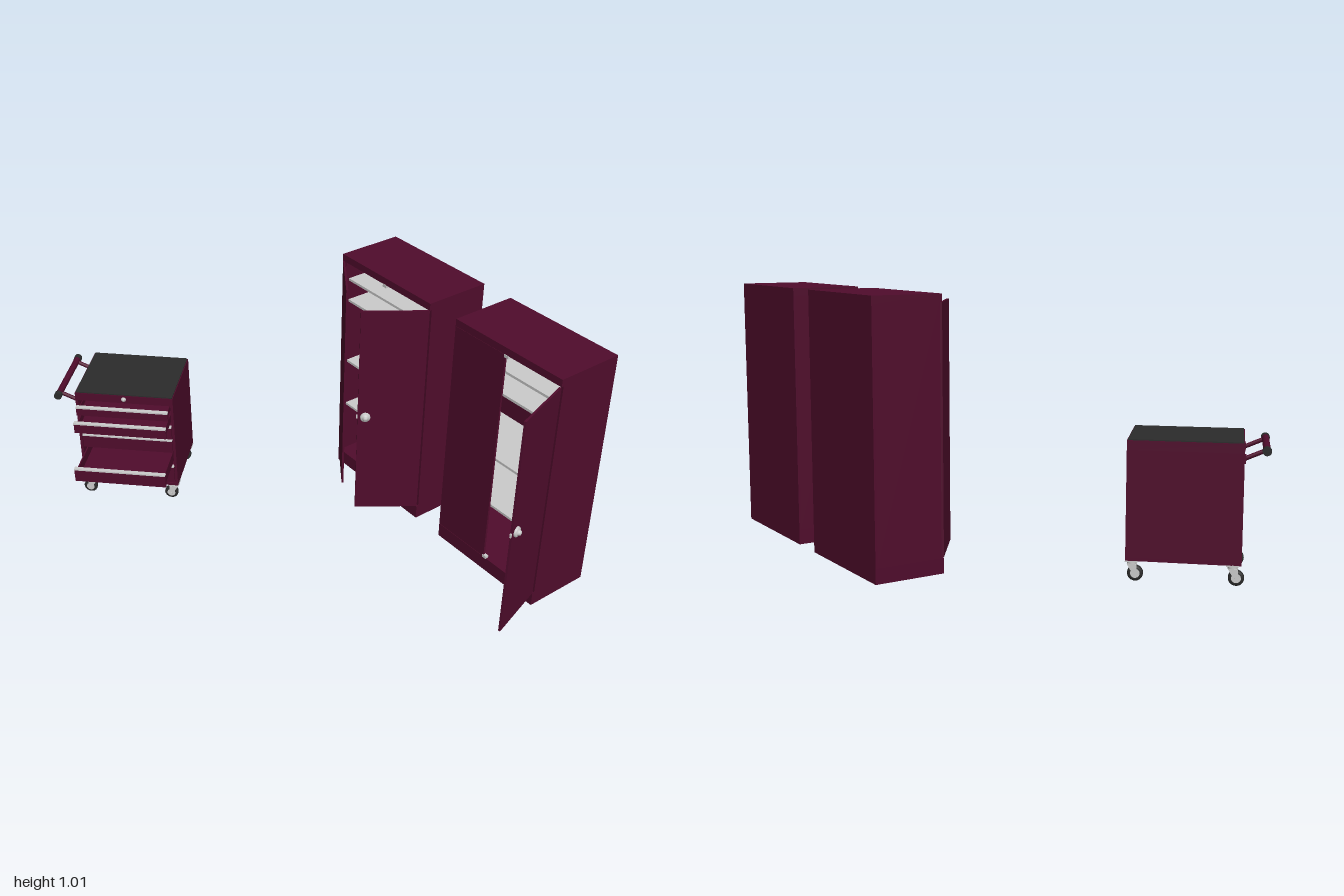
import * as THREE from 'three';

const paint = new THREE.MeshStandardMaterial({ color: 0x500c2c });
const grey = new THREE.MeshStandardMaterial({ color: 0xcccccc });
const rubber = new THREE.MeshStandardMaterial({ color: 0x2b2b2b });

function add(parent, name, geometry, material, x = 0, y = 0, z = 0) {
  const mesh = new THREE.Mesh(geometry, material);
  mesh.name = name;
  mesh.position.set(x, y, z);
  parent.add(mesh);
  return mesh;
}

// Box given by its min and max on each axis
function box(parent, name, [x0, x1], [y0, y1], [z0, z1], material = paint) {
  const g = new THREE.BoxGeometry(x1 - x0, y1 - y0, z1 - z0);
  return add(parent, name, g, material, (x0 + x1) / 2, (y0 + y1) / 2, (z0 + z1) / 2);
}

// Round bar between two points
function rod(parent, name, a, b, radius, material = paint) {
  const path = new THREE.LineCurve3(new THREE.Vector3(...a), new THREE.Vector3(...b));
  return add(parent, name, new THREE.TubeGeometry(path, 1, radius, 12), material);
}

// Turned lock or knob facing +z
function lock(parent, name, radius, x, y, z) {
  const profile = [[0, 1], [0.35, 0.95], [0.5, 0.75], [0.5, 0.5], [0.85, 0.45], [1, 0.3], [1, 0]]
    .map(([r, h]) => new THREE.Vector2(r * radius, h * radius)).reverse();
  const knob = add(parent, name, new THREE.LatheGeometry(profile, 20), grey, x, y, z);
  knob.rotation.x = Math.PI / 2;
  return knob;
}

// Door hinged at its local origin; dir is +1 or -1 along x
function door(parent, name, dir, hingeX, angle, hasHandle) {
  const hinge = new THREE.Group();
  hinge.name = name;
  hinge.position.set(hingeX, 0, 0);
  hinge.rotation.y = -dir * angle;
  const len = 0.255;
  box(hinge, 'doorPanel', dir > 0 ? [0, len] : [-len, 0], [0.068, 0.976], [-0.008, 0]);
  if (hasHandle) {
    lock(hinge, 'doorKnob', 0.02, dir * 0.225, 0.51, 0);
    box(hinge, 'doorLatch', dir > 0 ? [len - 0.01, len + 0.006] : [-len - 0.006, -len + 0.01],
      [0.502, 0.518], [-0.007, -0.001], grey);
  }
  parent.add(hinge);
}

// Tall cabinet; local z = 0 is the front face
function cabinet(name, x, leftAngle, rightAngle) {
  const g = new THREE.Group();
  g.name = name;
  g.position.set(x, 0, -0.423);
  const w = 0.26, back = -0.272, lip = -0.009;
  box(g, 'cabinetTop', [-w, w], [0.977, 1.006], [back, 0]);
  box(g, 'cabinetBase', [-w, w], [0.008, 0.066], [back, 0]);
  box(g, 'cabinetBack', [-w, w], [0.066, 0.977], [back, back + 0.008]);
  for (const s of [-1, 1]) {
    const side = [s * w, s * (w - 0.01)].sort((a, b) => a - b);
    box(g, 'cabinetSide', side, [0.066, 0.977], [back + 0.008, lip]);
  }
  for (const y of [0.297, 0.51, 0.795, 0.89])
    box(g, 'shelf', [-w + 0.01, w - 0.01], [y - 0.005, y + 0.005], [back + 0.008, -0.025], grey);
  for (const y of [0.07, 0.972])
    box(g, 'doorCatch', [-0.01, 0.01], [y - 0.006, y + 0.006], [-0.012, 0.002], grey);
  door(g, 'leftHandDoor', 1, -w, leftAngle, false);
  door(g, 'rightHandDoor', -1, w, rightAngle, true);
  return g;
}

// Open-topped drawer pulled out by a given distance
function drawer(parent, y0, y1, pull) {
  const g = new THREE.Group();
  g.name = 'drawer';
  g.position.z = pull;
  const w = 0.188, front = 0.16, back = -0.14, wall = y1 - 0.012;
  box(g, 'drawerFront', [-w, w], [y0, y1 - 0.005], [front - 0.012, front]);
  box(g, 'drawerPull', [-w, w], [y1 - 0.006, y1], [front - 0.014, front + 0.004], grey);
  box(g, 'drawerFloor', [-w + 0.006, w - 0.006], [y0 + 0.003, y0 + 0.008], [back, front - 0.012]);
  box(g, 'drawerBack', [-w + 0.006, w - 0.006], [y0 + 0.008, wall], [back, back + 0.005]);
  for (const x of [-w + 0.006, w - 0.011])
    box(g, 'drawerSide', [x, x + 0.005], [y0 + 0.008, wall], [back + 0.005, front - 0.012]);
  parent.add(g);
}

// Swivel caster, wheel trailing towards -x
function caster(parent, x, z) {
  const g = new THREE.Group();
  g.name = 'caster';
  g.position.set(x, 0, z);
  box(g, 'casterPlate', [-0.022, 0.022], [0.07, 0.076], [-0.022, 0.022], grey);
  add(g, 'casterSwivel', new THREE.CylinderGeometry(0.016, 0.016, 0.012, 16), grey, 0, 0.064, 0);
  const fork = new THREE.Shape([[-0.018, 0.062], [-0.022, 0.024], [-0.008, 0.022], [0.016, 0.062]]
    .map(p => new THREE.Vector2(...p)));
  const plate = new THREE.ExtrudeGeometry(fork, { depth: 0.003, bevelEnabled: false });
  for (const fz of [-0.016, 0.013]) add(g, 'casterFork', plate, grey, 0, 0, fz);
  const tyre = [[0.017, -0.011], [0.024, -0.011], [0.028, -0.006], [0.028, 0.006], [0.024, 0.011], [0.017, 0.011]]
    .map(p => new THREE.Vector2(...p));
  add(g, 'casterTyre', new THREE.LatheGeometry(tyre, 24), rubber, -0.013, 0.028, 0).rotation.x = Math.PI / 2;
  add(g, 'casterHub', new THREE.CylinderGeometry(0.018, 0.018, 0.02, 20), grey, -0.013, 0.028, 0).rotation.x = Math.PI / 2;
  add(g, 'casterAxle', new THREE.CylinderGeometry(0.005, 0.005, 0.036, 10), grey, -0.013, 0.028, 0).rotation.x = Math.PI / 2;
  parent.add(g);
}

// Rolling tool cart, drawers facing local +z
function toolCart() {
  const g = new THREE.Group();
  g.name = 'toolCart';
  g.position.set(-0.692, 0, 0.333);
  g.rotation.y = 0.814;
  const w = 0.201, d = 0.16;
  box(g, 'cartTop', [-w, w], [0.47, 0.504], [-d, d]);
  box(g, 'cartBottom', [-w, w], [0.075, 0.086], [-d, d]);
  box(g, 'cartBack', [-w, w], [0.086, 0.47], [-d, -d + 0.01]);
  for (const x of [-w, w - 0.011])
    box(g, 'cartSide', [x, x + 0.011], [0.086, 0.47], [-d + 0.01, d]);
  box(g, 'topMat', [-w + 0.003, w - 0.003], [0.504, 0.508], [-d + 0.003, d - 0.003], rubber);
  lock(g, 'cartLock', 0.01, 0, 0.488, d);

  // Drawers: bottom, top, pull-out distance
  const drawers = [[0.09, 0.172, 0], [0.176, 0.237, 0.152], [0.241, 0.304, 0],
    [0.308, 0.368, 0], [0.373, 0.421, 0.094], [0.426, 0.466, 0.045]];
  for (const [y0, y1, pull] of drawers) drawer(g, y0, y1, pull);

  // Push handle on the -x side
  rod(g, 'handleBar', [-0.275, 0.479, -0.14], [-0.275, 0.479, 0.14], 0.013);
  for (const s of [-1, 1]) {
    add(g, 'handleCap', new THREE.CylinderGeometry(0.016, 0.016, 0.02, 16), rubber, -0.275, 0.479, s * 0.147).rotation.x = Math.PI / 2;
    rod(g, 'handleArm', [-0.275, 0.479, s * 0.122], [-0.198, 0.445, s * 0.122], 0.008);
    box(g, 'handleMount', [-0.206, -0.2], [0.43, 0.46], [s * 0.122 - 0.012, s * 0.122 + 0.012]);
  }

  for (const x of [-0.17, 0.18]) for (const z of [-0.138, 0.138]) caster(g, x, z);
  return g;
}

export function createModel() {
  const model = new THREE.Group();
  model.name = 'workshopStorage';
  const rad = THREE.MathUtils.degToRad;
  model.add(cabinet('middleCabinet', -0.005, rad(35.3), rad(54.7)));
  model.add(cabinet('endCabinet', 0.655, 0, rad(107.7)));
  model.add(toolCart());
  return model;
}
